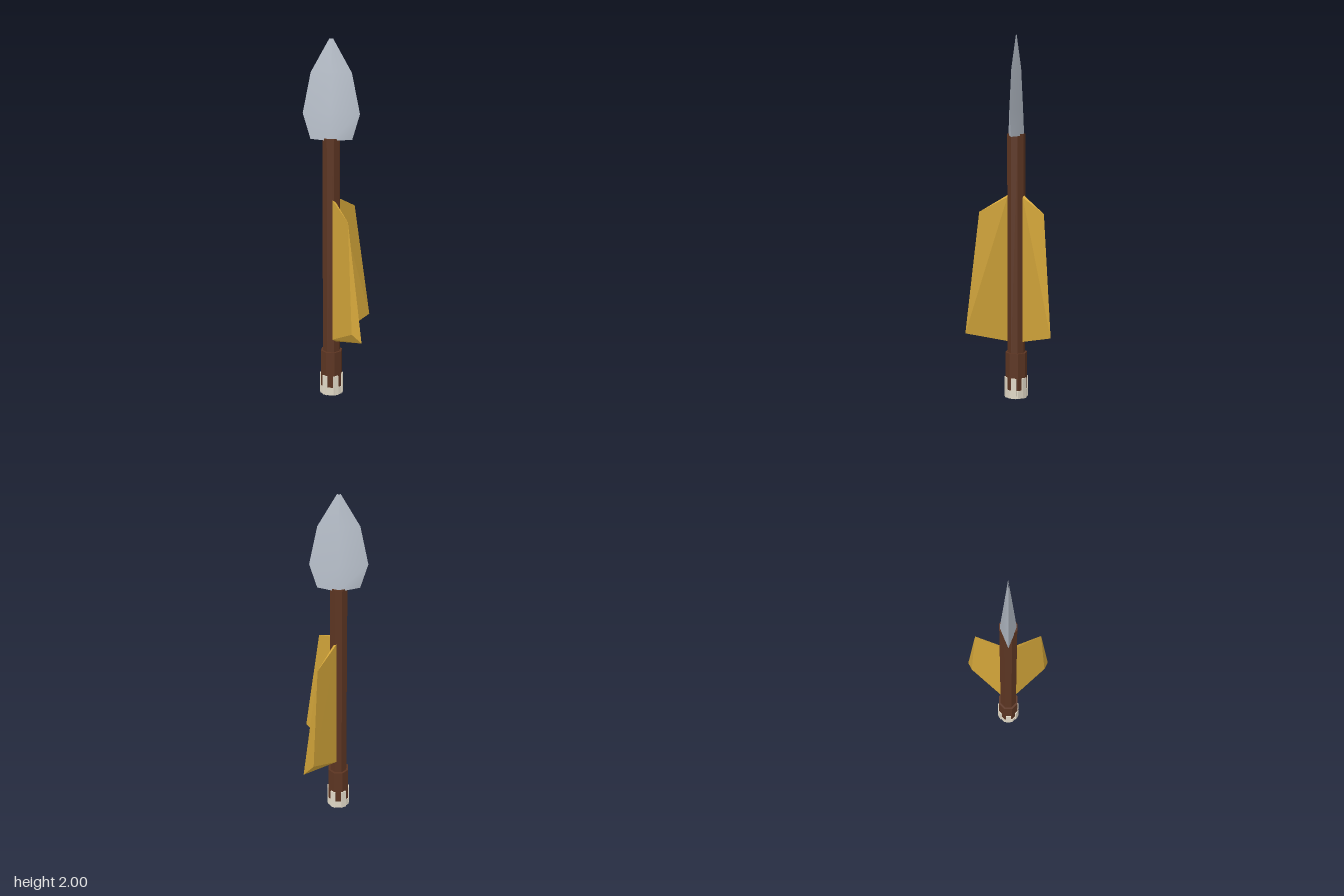
import * as THREE from 'three';
import { ConvexGeometry } from 'three/addons/geometries/ConvexGeometry.js';

const AXIS = -0.02; // x of the shaft's centre line

function material(name, color, flatShading = true) {
  const m = new THREE.MeshStandardMaterial({ color, flatShading });
  m.name = name;
  return m;
}

// Eight-sided rod with flats facing the axes
function octagon(apothem, y0, y1) {
  const r = apothem / Math.cos(Math.PI / 8);
  const g = new THREE.CylinderGeometry(r, r, y1 - y0, 8);
  g.rotateY(Math.PI / 8);
  g.translate(AXIS, (y0 + y1) / 2, 0);
  return g;
}

// One side of the blade: rows of [y, half width, half thickness]
function bladeSide(rows, side) {
  const pos = [], idx = [];
  for (const [y, w, t] of rows)
    pos.push(AXIS - w * side, y, 0, AXIS, y, t * side, AXIS + w * side, y, 0);
  for (let i = 0; i < rows.length - 1; i++)
    for (let j = 0; j < 2; j++) {
      const a = i * 3 + j, b = a + 1, c = a + 3, d = a + 4;
      idx.push(a, b, d, a, d, c);
    }
  const g = new THREE.BufferGeometry();
  g.setAttribute('position', new THREE.Float32BufferAttribute(pos, 3));
  g.setIndex(idx);
  g.computeVertexNormals();
  return g;
}

export function createModel() {
  const model = new THREE.Group();
  model.name = 'arrow';
  const wood = material('dark wood', 0x5c3522);
  const gold = material('gold feather', 0xd4a63a);
  const steel = material('pale steel', 0xb9c1cc, false);
  const bone = material('bone', 0xe0d8c6);

  const add = (name, geometry, mat, parent = model) => {
    const mesh = new THREE.Mesh(geometry, mat);
    mesh.name = name;
    parent.add(mesh);
    return mesh;
  };

  // Shaft and thicker tail collar
  add('shaft', octagon(0.046, 0.2, 1.47), wood);
  add('collar', octagon(0.057, 0.03, 0.255), wood);

  // End cap with small upright prongs
  const cap = new THREE.Group();
  cap.name = 'endCap';
  model.add(cap);
  add('capDisc', octagon(0.06, 0, 0.045), bone, cap);
  for (let i = 0; i < 6; i++) {
    const a = (i * Math.PI) / 3;
    const g = new THREE.BoxGeometry(0.014, 0.115, 0.03);
    g.translate(0.057, 0.0575, 0);
    g.rotateY(a);
    g.translate(AXIS, 0, 0);
    add('prong', g, bone, cap);
  }

  // Arrowhead with a diamond section
  const head = new THREE.Group();
  head.name = 'arrowhead';
  model.add(head);
  const rows = [[1.46, 0.113, 0.044], [1.6, 0.154, 0.034], [1.82, 0.11, 0.018], [2, 0.01, 0.001]];
  add('bladeFront', bladeSide(rows, 1), steel, head);
  add('bladeBack', bladeSide(rows, -1), steel, head);
  const base = new THREE.Shape([[-0.113, 0], [0, -0.044], [0.113, 0], [0, 0.044]]
    .map(([x, y]) => new THREE.Vector2(x, y)));
  const baseGeo = new THREE.ShapeGeometry(base);
  baseGeo.rotateX(Math.PI / 2);
  baseGeo.translate(AXIS, 1.46, 0);
  add('bladeBase', baseGeo, steel, head);

  // Two slanted feathers, mirrored front to back
  const feather = [
    [-0.01, 1.135, 0.045], [0.008, 1.125, 0.043],  // root top
    [-0.01, 0.33, 0.045], [0.01, 0.32, 0.043],     // root bottom
    [0.09, 1.05, 0.18],                            // upper outer corner
    [0.116, 0.43, 0.216], [0.172, 0.39, 0.238],    // lower outer edge
  ];
  for (const s of [1, -1]) {
    const pts = feather.map(([x, y, z]) => new THREE.Vector3(x, y, z * s));
    add(s > 0 ? 'frontFeather' : 'backFeather', new ConvexGeometry(pts), gold);
  }
  return model;
}
